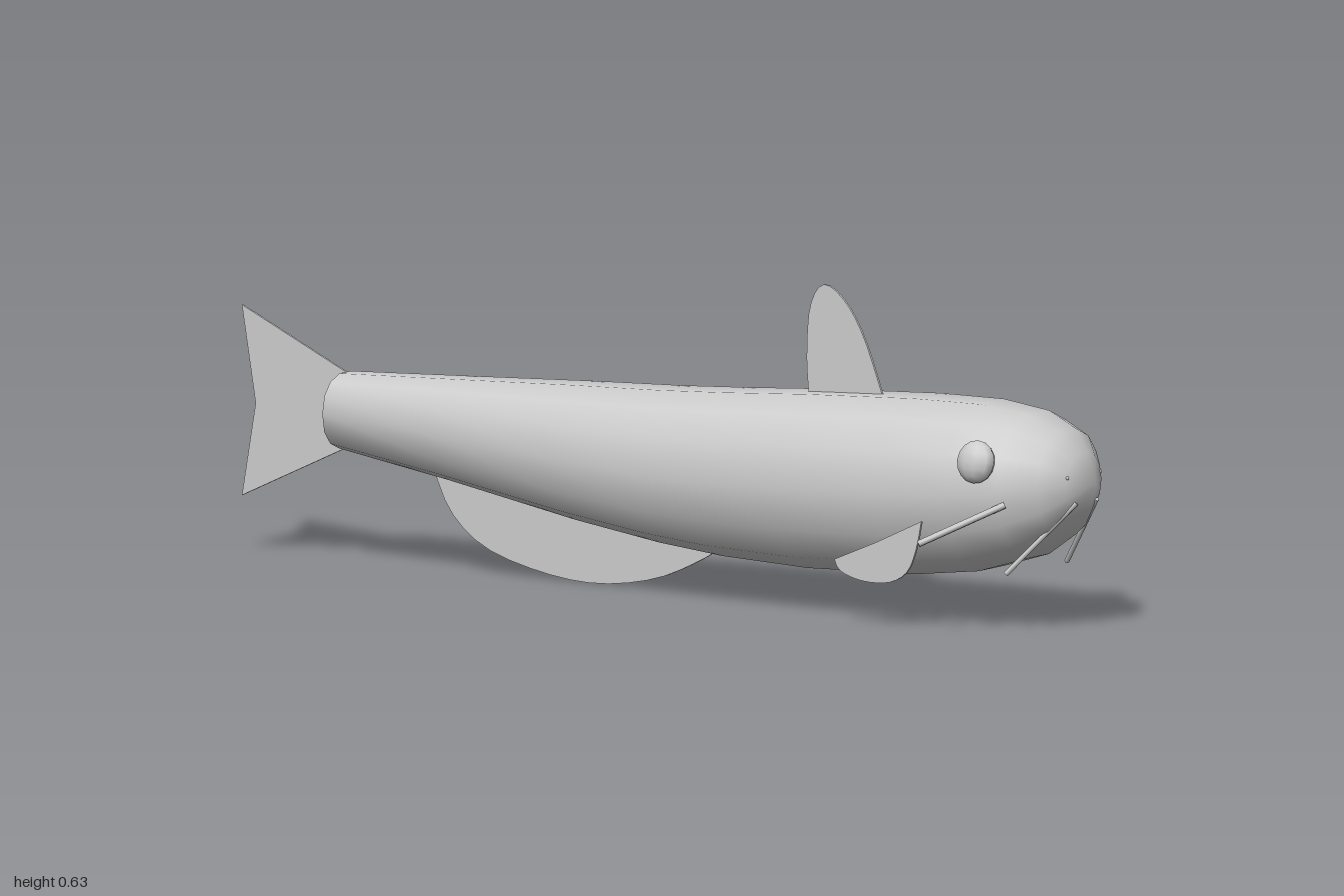
import * as THREE from 'three';

const material = new THREE.MeshStandardMaterial({ color: 0xcccccc, side: THREE.DoubleSide });

// Body cross-sections: x, top y, bottom y, half width
const SECTIONS = [
  [-0.76, 0.367, 0.22, 0.08],
  [-0.5, 0.378, 0.18, 0.105],
  [-0.2, 0.391, 0.128, 0.137],
  [0, 0.398, 0.1, 0.154],
  [0.15, 0.406, 0.086, 0.165],
  [0.35, 0.419, 0.079, 0.173],
  [0.6, 0.431, 0.087, 0.176],
  [0.75, 0.432, 0.105, 0.171],
  [0.86, 0.419, 0.138, 0.147],
  [0.93, 0.39, 0.184, 0.107],
  [0.965, 0.347, 0.234, 0.063],
];
const SIDES = 14;
const soft = (v) => Math.sign(v) * Math.abs(v) ** 0.9;

function bodyGeometry() {
  const positions = [];
  const index = [];
  const addRing = ([x, top, bottom, width]) => {
    for (let j = 0; j < SIDES; j++) {
      const a = (j / SIDES) * Math.PI * 2;
      positions.push(
        x,
        (top + bottom) / 2 + (soft(Math.sin(a)) * (top - bottom)) / 2 / 0.977,
        soft(Math.cos(a)) * width
      );
    }
  };
  SECTIONS.forEach(addRing);
  for (let i = 0; i < SECTIONS.length - 1; i++) {
    for (let j = 0; j < SIDES; j++) {
      const a = i * SIDES + j;
      const b = i * SIDES + ((j + 1) % SIDES);
      index.push(a, a + SIDES, b, b, a + SIDES, b + SIDES);
    }
  }
  // Pointed snout
  const last = (SECTIONS.length - 1) * SIDES;
  const tip = positions.length / 3;
  positions.push(0.995, 0.291, 0);
  for (let j = 0; j < SIDES; j++) index.push(last + j, tip, last + ((j + 1) % SIDES));
  // Flat rear cap with its own ring for a sharp rim
  const cap = tip + 1;
  addRing(SECTIONS[0]);
  positions.push(-0.76, 0.2935, 0);
  for (let j = 0; j < SIDES; j++) index.push(cap + SIDES, cap + j, cap + ((j + 1) % SIDES));

  const geometry = new THREE.BufferGeometry();
  geometry.setAttribute('position', new THREE.Float32BufferAttribute(positions, 3));
  geometry.setIndex(index);
  geometry.computeVertexNormals();
  return geometry;
}

function add(group, name, geometry) {
  const mesh = new THREE.Mesh(geometry, material);
  mesh.name = name;
  group.add(mesh);
  return mesh;
}

// Thin upright plate; curve points are smoothed, base points stay sharp
function fin(group, name, curve, base, z = 0, smooth = true) {
  const shape = new THREE.Shape();
  const points = curve.map(([x, y]) => new THREE.Vector2(x, y));
  const outline = smooth ? new THREE.SplineCurve(points).getPoints(20) : points;
  shape.setFromPoints([...outline, ...base.map(([x, y]) => new THREE.Vector2(x, y))]);
  const depth = 0.005;
  const geometry = new THREE.ExtrudeGeometry(shape, { depth, bevelEnabled: false });
  geometry.translate(0, 0, z - depth / 2);
  return add(group, name, geometry);
}

function barbel(group, name, from, to, radius) {
  const a = new THREE.Vector3(...from);
  const b = new THREE.Vector3(...to);
  const mesh = add(group, name, new THREE.CylinderGeometry(radius, radius, a.distanceTo(b), 6));
  mesh.position.copy(a).lerp(b, 0.5);
  mesh.quaternion.setFromUnitVectors(new THREE.Vector3(0, 1, 0), b.sub(a).normalize());
}

export function createModel() {
  const group = new THREE.Group();
  group.name = 'catfish';
  add(group, 'body', bodyGeometry());

  // Fins on the centre line
  fin(group, 'tailFin',
    [[-0.755, 0.367], [-1, 0.48], [-0.968, 0.29], [-1, 0.107], [-0.755, 0.22]], [], 0, false);
  fin(group, 'dorsalFin',
    [[0.325, 0.41], [0.32, 0.49], [0.328, 0.585], [0.36, 0.63], [0.41, 0.6], [0.455, 0.53], [0.5, 0.415]],
    [[0.5, 0.38], [0.33, 0.38]]);
  fin(group, 'analFin',
    [[-0.55, 0.19], [-0.51, 0.112], [-0.43, 0.05], [-0.3, 0.013], [-0.17, 0.001], [-0.04, 0.02],
      [0.06, 0.06], [0.13, 0.1]],
    [[0.1, 0.13], [-0.5, 0.22]]);

  for (const [side, s] of [['front', 1], ['rear', -1]]) {
    // Pectoral fins hanging beside the belly
    fin(group, side + 'PectoralFin',
      [[0.504, 0.125], [0.515, 0.105], [0.55, 0.091], [0.595, 0.086], [0.64, 0.092], [0.675, 0.115],
        [0.695, 0.16], [0.707, 0.215]],
      [[0.6, 0.165]], s * 0.177);

    // Flattened, slightly tilted eyes
    const eye = add(group, side + 'Eye', new THREE.SphereGeometry(0.042, 10, 8));
    eye.scale.z = 0.62;
    eye.position.set(0.815, 0.337, s * 0.15);
    eye.rotation.x = -s * 0.2;

    // Whiskers and nostrils
    barbel(group, side + 'UpperBarbel', [0.872, 0.255, s * 0.135], [0.745, 0.182, s * 0.246], 0.007);
    barbel(group, side + 'LowerBarbel', [0.972, 0.255, s * 0.035], [0.855, 0.115, s * 0.106], 0.005);
    const nostril = add(group, side + 'Nostril', new THREE.SphereGeometry(0.004, 6, 4));
    nostril.position.set(0.966, 0.306, s * 0.057);
  }
  return group;
}
